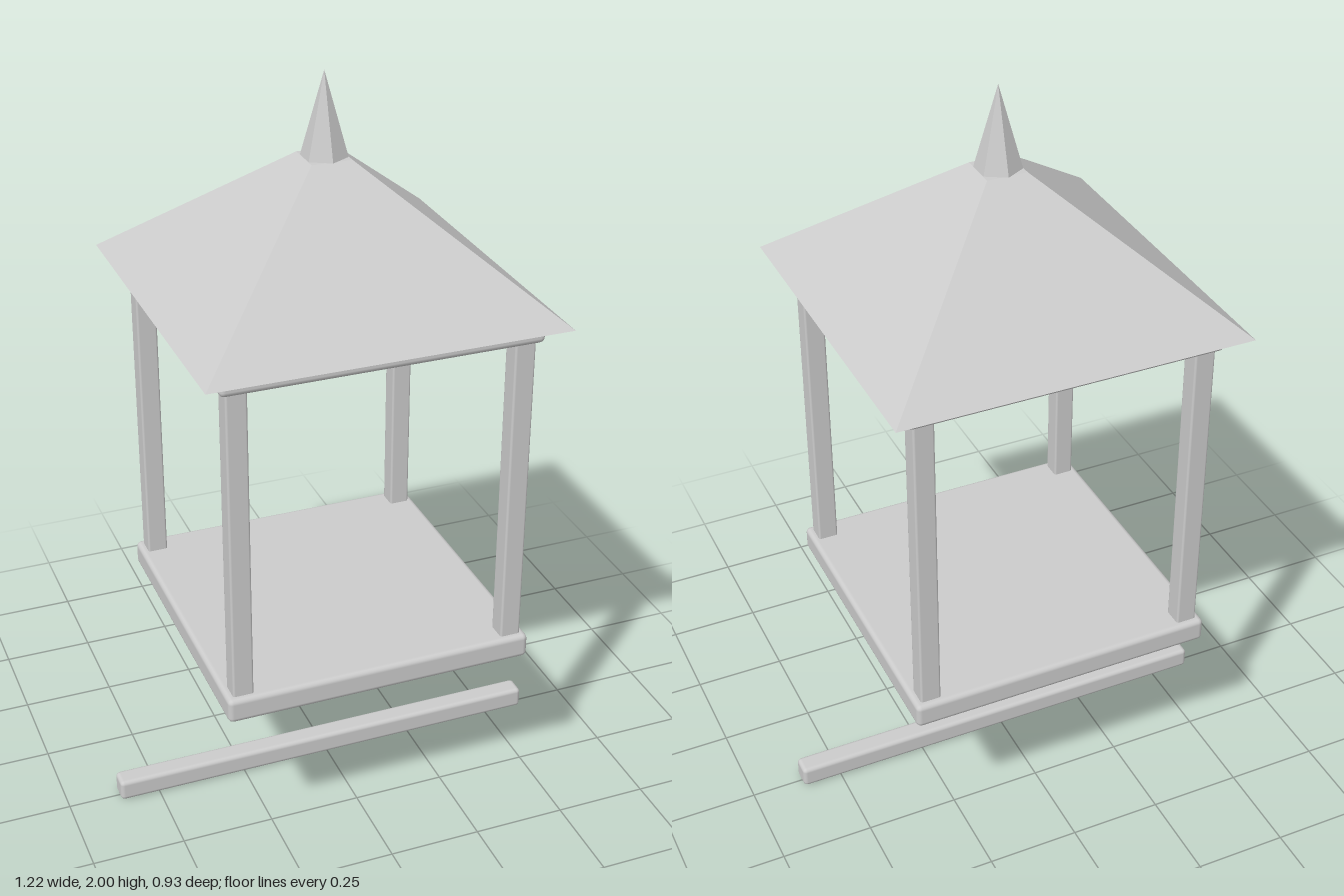
import * as THREE from 'three';
import { RoundedBoxGeometry } from 'three/addons/geometries/RoundedBoxGeometry.js';

export function createModel() {
  const model = new THREE.Group();
  model.name = 'lantern';

  const grey = new THREE.MeshStandardMaterial({ color: 0xcccccc });
  grey.name = 'light grey';
  // same colour, faceted for the low-poly tapered parts
  const facet = (geometry) => {
    const g = geometry.toNonIndexed();
    g.computeVertexNormals();
    return g;
  };

  const add = (name, geometry, x, y, z) => {
    const mesh = new THREE.Mesh(geometry, grey);
    mesh.name = name;
    mesh.position.set(x, y, z);
    model.add(mesh);
    return mesh;
  };

  // softly bevelled box placed by its bottom and top heights
  const beam = (name, w, bottom, top, d, bevel, x = 0, z = 0) =>
    add(name, new RoundedBoxGeometry(w, top - bottom, d, 2, bevel), x, (bottom + top) / 2, z);

  // faceted taper placed by its bottom and top heights
  const taper = (name, rTop, rBottom, bottom, top, sides, turn = 0) =>
    add(name, facet(new THREE.CylinderGeometry(rTop, rBottom, top - bottom, sides, 1, false, turn)),
      0, (bottom + top) / 2, 0);

  // loose crossbar below the lantern
  beam('crossbar', 1.22, 0, 0.06, 0.06, 0.012);

  // ten-sided socket under the floor
  taper('socket', 0.217, 0.148, 0.28, 0.478, 10);

  // floor slab and top slab
  beam('floor', 0.83, 0.478, 0.546, 0.83, 0.014);
  beam('topFrame', 0.83, 1.394, 1.441, 0.83, 0.014);

  // four corner posts
  for (const x of [-1, 1]) {
    for (const z of [-1, 1]) {
      beam('cornerPost', 0.055, 0.54, 1.4, 0.055, 0.006, x * 0.37, z * 0.37);
    }
  }

  // four-sided roof with a small flat top
  taper('roof', 0.053 * Math.SQRT2, 0.465 * Math.SQRT2, 1.441, 1.785, 4, Math.PI / 4);

  // six-sided spire
  taper('spire', 0, 0.06, 1.785, 2, 6);

  return model;
}
